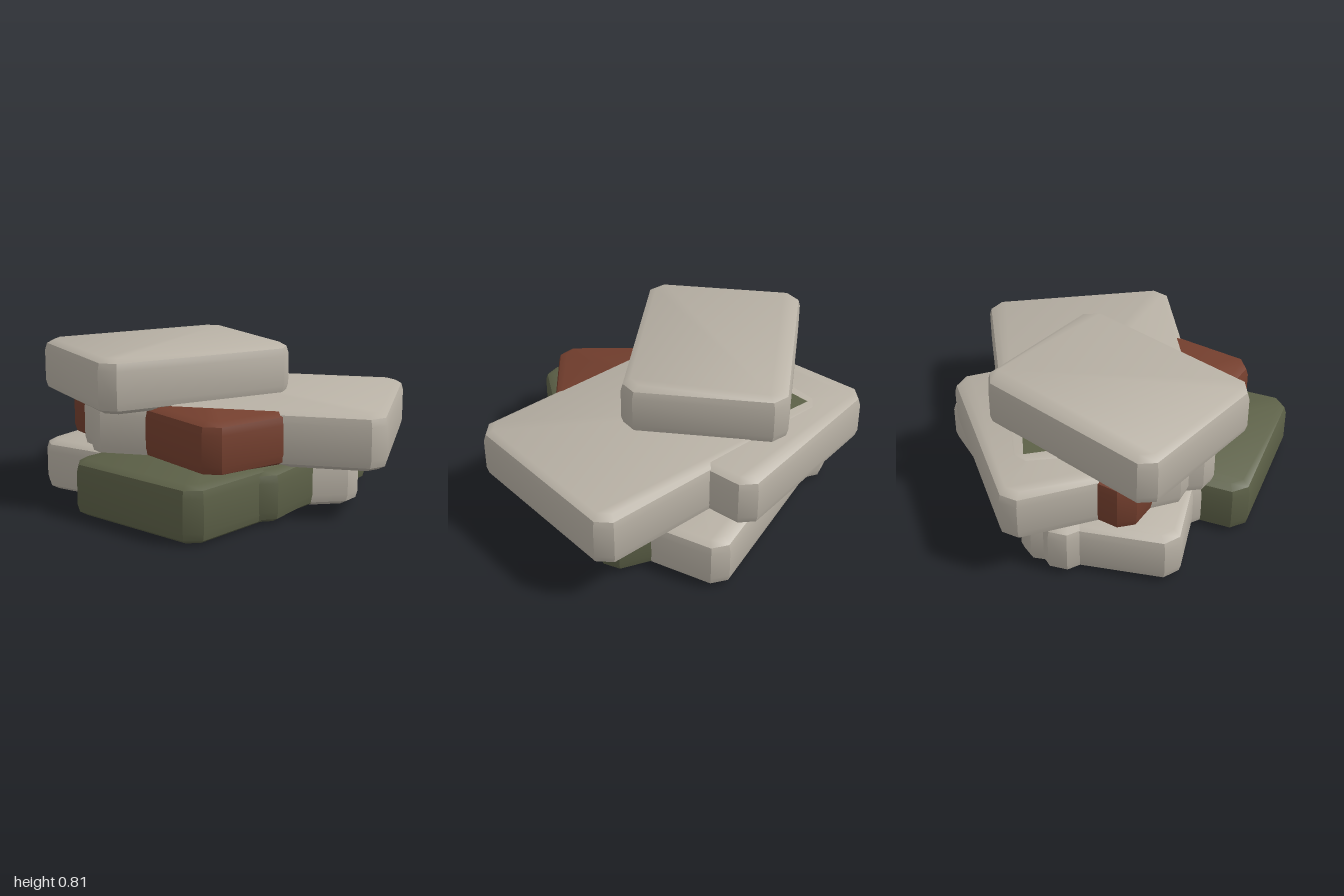
import * as THREE from 'three';
import { toCreasedNormals } from 'three/addons/utils/BufferGeometryUtils.js';

const stone = new THREE.MeshStandardMaterial({ color: 0xb8b1a5 });
stone.name = 'pale stone';
const olive = new THREE.MeshStandardMaterial({ color: 0x5c6047 });
olive.name = 'olive';
const brown = new THREE.MeshStandardMaterial({ color: 0x743f2e });
brown.name = 'red brown';

// Chamfered slab: width along local x, depth along local z, resting on y = 0
function slabGeometry(w, d, h) {
  const cut = 0.07;
  const rings = [[0.045, 0], [0.01, 0.022], [0, 0.06], [0, h - 0.06], [0.01, h - 0.022], [0.045, h]];
  const pos = [], idx = [];
  for (const [inset, y] of rings) {
    const a = inset, c = cut + inset * 0.6;
    const outline = [[c, a], [w - c, a], [w - a, c], [w - a, d - c], [w - c, d - a], [c, d - a], [a, d - c], [a, c]];
    for (const [x, z] of outline) pos.push(x, y, z);
  }
  for (let r = 0; r < rings.length - 1; r++) {
    for (let i = 0; i < 8; i++) {
      const a = r * 8 + i, b = r * 8 + (i + 1) % 8;
      idx.push(a, a + 8, b + 8, a, b + 8, b);
    }
  }
  const top = (rings.length - 1) * 8;
  for (let i = 1; i < 7; i++) {
    idx.push(0, i, i + 1);
    idx.push(top, top + i + 1, top + i);
  }
  const g = new THREE.BufferGeometry();
  g.setAttribute('position', new THREE.Float32BufferAttribute(pos, 3));
  g.setIndex(idx);
  return toCreasedNormals(g, 0.6);
}

// p and q are the ends of the back edge (x, z); the slab extends forward from it
function slab(name, material, p, q, depth, y0, y1) {
  const dx = q[0] - p[0], dz = q[1] - p[1];
  const mesh = new THREE.Mesh(slabGeometry(Math.hypot(dx, dz), depth, y1 - y0), material);
  mesh.position.set(p[0], y0, p[1]);
  mesh.rotation.y = -Math.atan2(dz, dx);
  mesh.name = name;
  return mesh;
}

export function createModel() {
  const model = new THREE.Group();
  model.name = 'slabPile';
  model.add(
    // Bottom layer
    slab('bottomFrontSlab', olive, [-0.272, -0.198], [0.588, -0.063], 1.0, 0, 0.29),
    slab('bottomBackSlab', stone, [0.07, -0.95], [0.77, -0.13], 1.33, 0.004, 0.28),
    slab('bottomInnerSlab', olive, [-0.3, -0.64], [0.575, -0.64], 1.1, 0.008, 0.276),
    slab('bottomLeftSlab', stone, [-0.85, -0.3], [0, -0.3], 0.82, 0.006, 0.278),
    // Middle layer
    slab('middleRightSlab', stone, [-0.778, -0.351], [0.66, -0.874], 1.05, 0.262, 0.553),
    slab('middleBackSlab', stone, [-1.025, -0.31], [-0.1, -0.855], 0.98, 0.266, 0.549),
    slab('middleFrontSlab', brown, [-0.558, -0.53], [0.676, -0.086], 0.85, 0.27, 0.546),
    // Top layer
    slab('topSlab', stone, [-0.413, -0.595], [0.34, -0.186], 1.106, 0.527, 0.81)
  );

  // Small olive corner showing on the middle layer
  const corner = new THREE.Shape();
  corner.moveTo(-0.67, 0.3);
  corner.lineTo(-0.62, 0.19);
  corner.lineTo(-0.54, 0.34);
  corner.closePath();
  const patch = new THREE.Mesh(new THREE.ShapeGeometry(corner), olive);
  patch.rotation.x = -Math.PI / 2;
  patch.position.y = 0.556;
  patch.name = 'olivePatch';
  model.add(patch);
  return model;
}
